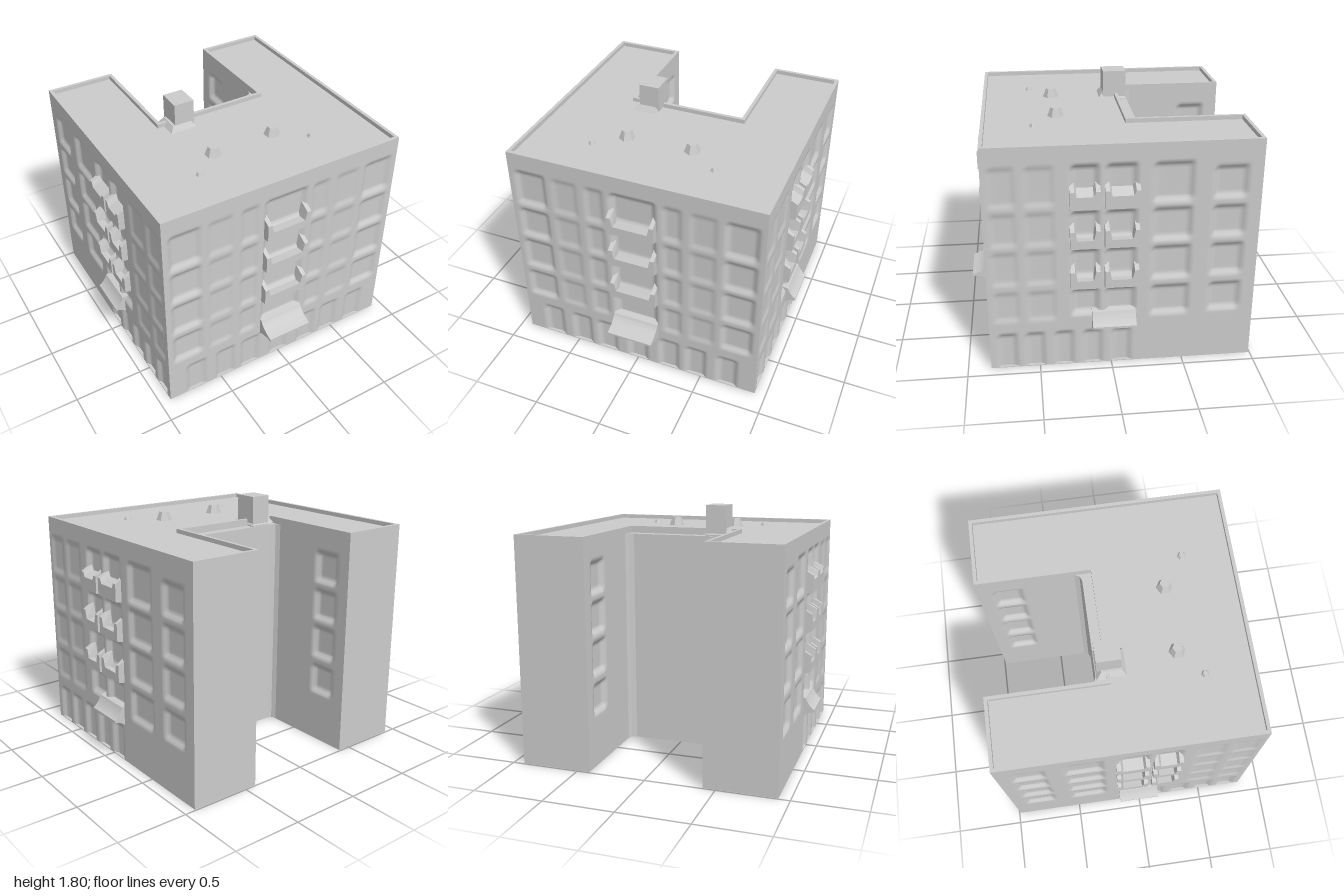
import * as THREE from 'three';

const mat = new THREE.MeshStandardMaterial({ color: 0xcccccc, side: THREE.DoubleSide });
const flat = new THREE.MeshStandardMaterial({ color: 0xcccccc, side: THREE.DoubleSide, flatShading: true });
const H = 1.63, ROOF = 1.6;

function add(parent, name, geo, m = flat) {
  const mesh = new THREE.Mesh(geo, m);
  mesh.name = name;
  parent.add(mesh);
  return mesh;
}

// Mirrors a half plan of [x, z] points about x = 0
function plan(half, Type = THREE.Shape) {
  const mirrored = half.filter(p => p[0] > 0).reverse().map(([x, z]) => [-x, z]);
  return new Type([...half, ...mirrored].map(([x, z]) => new THREE.Vector2(x, -z)));
}

// Extrudes a plan upwards from y0 to y1
function storey(shape, y0, y1) {
  return new THREE.ExtrudeGeometry(shape, { depth: y1 - y0, bevelEnabled: false })
    .rotateX(-Math.PI / 2).translate(0, y0, 0);
}

// Wall sheet with soft recesses, each [x0, x1, y0, y1, depth]
function wallSheet(x0, x1, recesses) {
  const w = x1 - x0;
  const geo = new THREE.PlaneGeometry(w, ROOF, Math.round(w / 0.017), 94).translate((x0 + x1) / 2, ROOF / 2, 0);
  const p = geo.attributes.position;
  const ramp = (v, a, b) => THREE.MathUtils.smoothstep(Math.min(v - a, b - v), 0, 0.035);
  for (let i = 0; i < p.count; i++) {
    const x = p.getX(i), y = p.getY(i);
    let d = 0;
    for (const [a, b, c, e, depth] of recesses) d = Math.max(d, depth * ramp(x, a, b) * ramp(y, c, e));
    p.setZ(i, -d);
  }
  geo.computeVertexNormals();
  return geo;
}

// Balcony front: a wide U with a lip that leans out from the wall
function balcony(parent, x, y, w, notch, depth) {
  const h = w / 2, top = 0.16, s = new THREE.Shape();
  [[-h, 0], [h, 0], [h, top], [h - 0.03, top], [h - 0.045, notch], [0.045 - h, notch], [0.03 - h, top], [-h, top]]
    .forEach(([a, b], i) => (i ? s.lineTo(a, b) : s.moveTo(a, b)));
  const geo = new THREE.ExtrudeGeometry(s, { depth: depth + 0.03, bevelEnabled: false });
  const p = geo.attributes.position;
  for (let i = 0; i < p.count; i++) {
    if (p.getZ(i) < 0.01) p.setY(i, p.getY(i) * 1.15 - 0.015);
    else if (p.getY(i) > 0.12) p.setY(i, p.getY(i) - 0.035);
  }
  geo.computeVertexNormals();
  add(parent, 'balcony', geo).position.set(x, y, -0.03);
}

// Thin flared canopy over the entrance
function canopy(parent, x, w, depth) {
  const s = new THREE.Shape();
  s.moveTo(-0.03, 0.27);
  s.lineTo(0, 0.28);
  s.quadraticCurveTo(0.02, 0.31, depth, 0.32);
  s.lineTo(depth, 0.335);
  s.quadraticCurveTo(0.04, 0.36, 0.015, 0.42);
  s.lineTo(-0.03, 0.43);
  const geo = new THREE.ExtrudeGeometry(s, { depth: w, bevelEnabled: false, curveSegments: 6 })
    .rotateY(-Math.PI / 2).translate(w / 2 + x, 0, 0);
  add(parent, 'entranceCanopy', geo);
}

export function createModel() {
  const g = new THREE.Group();
  g.name = 'apartmentBlock';

  // U-shaped core, set back where the wall sheets cover it
  add(g, 'core', storey(plan([[0, -0.24], [0.36, -0.24], [0.395, -0.255], [0.41, -0.29], [0.41, -0.6],
    [0.45, -0.6], [0.45, -0.95], [0.41, -0.95], [0.41, -0.99], [0.92, -0.99], [0.92, -0.95],
    [0.88, -0.95], [0.88, 0.8], [0, 0.8]]), 0.002, 1.58));
  const outline = z => [[0, z], [0.41, z], [0.41, -0.99], [0.92, -0.99], [0.92, 0.84], [0, 0.84]];
  add(g, 'floorSlab', storey(plan(outline(-0.24)), 0, 0.006));
  add(g, 'roofSlab', storey(plan(outline(-0.17)), 1.57, ROOF));

  // Low parapet around the roof
  const rim = plan(outline(-0.17));
  rim.holes.push(plan([[0, -0.145], [0.435, -0.145], [0.435, -0.965], [0.895, -0.965], [0.895, 0.815], [0, 0.815]], THREE.Path));
  add(g, 'parapet', storey(rim, ROOF, H));

  const rows = [[0.36, 0.6], [0.64, 0.9], [0.93, 1.18], [1.21, 1.5]];
  const balconyRows = [0.62, 0.92, 1.2];

  // Front: window grid, ground-floor bays, stacked balconies
  const front = new THREE.Group();
  front.name = 'frontFacade';
  front.position.z = 0.84;
  const holes = [];
  for (const [y0, y1] of rows) {
    for (const s of [-1, 1]) for (const [c, w, d] of [[0.76, 0.24, 0.022], [0.5, 0.2, 0.01], [0.28, 0.15, 0.014]])
      holes.push([s * c - w / 2, s * c + w / 2, y0, y1, d]);
    holes.push([-0.17, 0.17, y0 + 0.03, y1, 0.03]);
  }
  for (const c of [-0.7, -0.46, -0.25, 0, 0.25, 0.46, 0.7])
    holes.push([c - 0.085, c + 0.085, -0.1, 0.275, 0.022]);
  add(front, 'frontWall', wallSheet(-0.92, 0.92, holes), mat);
  for (const y of balconyRows) balcony(front, 0, y, 0.34, 0.06, 0.05);
  canopy(front, 0, 0.34, 0.14);
  g.add(front);

  // Outer side walls; f maps depth z onto the wall's own x axis
  for (const s of [1, -1]) {
    const side = new THREE.Group();
    side.name = s > 0 ? 'leftFacade' : 'rightFacade';
    side.position.x = s * 0.92;
    side.rotation.y = s * Math.PI / 2;
    const f = (a, b) => (s > 0 ? [-b, -a] : [a, b]);
    const rec = [];
    for (const [y0, y1] of rows) {
      rec.push([...f(-0.9, -0.66), y0 + 0.01, Math.min(y1, 1.46), 0.025], [...f(-0.54, -0.26), y0, y1, 0.025]);
      rec.push([...f(0.37, 0.58), y0, y1, 0.01], [...f(0.62, 0.81), y0, y1, 0.01]);
      rec.push([...f(-0.17, 0.05), y0 + 0.03, y1, 0.03], [...f(0.08, 0.28), y0 + 0.03, y1, 0.03]);
    }
    for (const c of [-0.07, 0.13, 0.33, 0.53, 0.72])
      rec.push([...f(c - 0.075, c + 0.075), -0.1, 0.275, 0.022]);
    add(side, 'sideWall', wallSheet(...f(-0.95, 0.84), rec), mat);
    balconyRows.forEach((y, i) => {
      const notch = i === 2 ? 0.125 : 0.06;
      balcony(side, -s * 0.18, y, 0.2, notch, 0.045);
      balcony(side, s * 0.065, y, 0.23, notch, 0.045);
    });
    canopy(side, s * 0.015, 0.3, 0.08);
    g.add(side);

    // Courtyard wall of the wing with one window column
    const inner = rows.map(([y0, y1]) => [...(s > 0 ? [-0.89, -0.67] : [0.67, 0.89]), y0 + 0.01, Math.min(y1, 1.46), 0.03]);
    const sheet = add(g, 'courtyardWall', s > 0 ? wallSheet(-0.95, -0.6, inner) : wallSheet(0.6, 0.95, inner), mat);
    sheet.position.x = s * 0.41;
    sheet.rotation.y = -s * Math.PI / 2;
  }

  // Stair tower on the roof with a flared foot
  add(g, 'roofTower', new THREE.BoxGeometry(0.15, 0.24, 0.17)).position.set(-0.265, 1.68, -0.145);
  const foot = add(g, 'towerFoot', new THREE.CylinderGeometry(0.1, 0.15, 0.05, 4).rotateY(Math.PI / 4));
  foot.position.set(-0.285, 1.615, -0.13);

  // Roof vents: two large, two small
  for (const [x, z, r, h] of [[-0.26, 0.33, 0.06, 0.065], [0.22, 0.32, 0.06, 0.065], [-0.45, 0.49, 0.03, 0.025], [0.44, 0.48, 0.035, 0.025]])
    add(g, 'roofVent', new THREE.CylinderGeometry(r * 0.6, r, h, 6)).position.set(x, ROOF + h / 2 - 0.002, z);

  return g;
}
